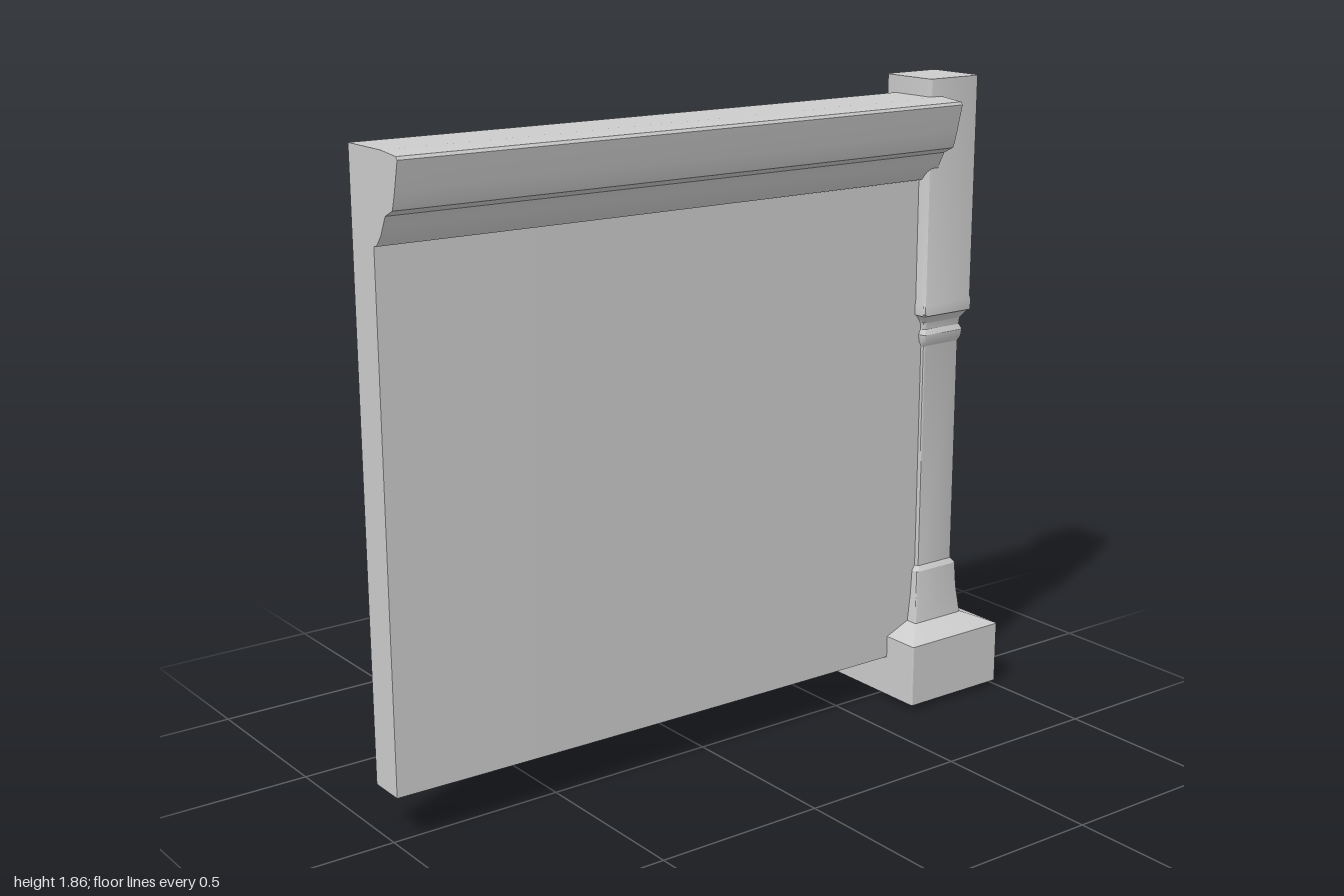
import * as THREE from 'three';
import { toCreasedNormals } from 'three/addons/utils/BufferGeometryUtils.js';

const material = new THREE.MeshStandardMaterial({ color: 0xcccccc });

function addMesh(group, name, geometry, crease = 0.5) {
  const mesh = new THREE.Mesh(toCreasedNormals(geometry, crease), material);
  mesh.name = name;
  group.add(mesh);
}

// Sweep a [z, y] profile along x, bending it slightly backwards towards -x
function sweepAlongX(profile, x0, x1) {
  const shape = new THREE.Shape(profile.map(([z, y]) => new THREE.Vector2(-z, y)));
  const geometry = new THREE.ExtrudeGeometry(shape, { depth: x1 - x0, steps: 16, bevelEnabled: false });
  geometry.rotateY(Math.PI / 2).translate(x0, 0, 0);
  const p = geometry.attributes.position;
  for (let i = 0; i < p.count; i++) {
    const t = (x1 - p.getX(i)) / (x1 - x0);
    p.setZ(i, p.getZ(i) - 0.02 * t * t);
  }
  return geometry;
}

// Stack of rounded squares; each ring is [y, half width, corner radius]
function squareLoft(rings) {
  const position = [], index = [], arc = 3, n = 4 * (arc + 1);
  for (const [y, half, r] of rings) {
    for (let c = 0; c < 4; c++) {
      const mid = Math.PI / 4 + c * Math.PI / 2;
      const cx = Math.sign(Math.cos(mid)) * (half - r);
      const cz = Math.sign(Math.sin(mid)) * (half - r);
      for (let k = 0; k <= arc; k++) {
        const a = (c + k / arc) * Math.PI / 2;
        position.push(cx + r * Math.cos(a), y, cz + r * Math.sin(a));
      }
    }
  }
  for (let j = 0; j < rings.length - 1; j++) {
    for (let i = 0; i < n; i++) {
      const a = j * n + i, b = j * n + (i + 1) % n;
      index.push(a, a + n, b, b, a + n, b + n);
    }
  }
  // End caps
  const top = (rings.length - 1) * n;
  for (let i = 1; i < n - 1; i++) {
    index.push(0, i, i + 1, top, top + i + 1, top + i);
  }
  const geometry = new THREE.BufferGeometry();
  geometry.setAttribute('position', new THREE.Float32BufferAttribute(position, 3));
  geometry.setIndex(index);
  return geometry;
}

export function createModel() {
  const model = new THREE.Group();
  model.name = 'wallWithPost';

  // Wall panel
  addMesh(model, 'wallPanel', sweepAlongX([
    [-0.06, 0.14], [0.048, 0.14], [0.048, 1.81], [-0.06, 1.81],
  ], -1, 0.77));

  // Moulded cornice along the top of the front face
  addMesh(model, 'cornice', sweepAlongX([
    [0.04, 1.575], [0.06, 1.575], [0.085, 1.605], [0.092, 1.62], [0.11, 1.655],
    [0.145, 1.672], [0.15, 1.685], [0.16, 1.72], [0.178, 1.795], [0.172, 1.803],
    [0.1, 1.81], [0.04, 1.81],
  ], -1, 0.77));

  // Post: plinth, shaft and top block share one axis
  const post = new THREE.Group();
  post.name = 'post';
  post.position.set(0.827, 0, -0.007);
  model.add(post);

  addMesh(post, 'plinth', squareLoft([
    [0.005, 0.1, 0.004], [0.02, 0.171, 0.004], [0.205, 0.171, 0.004], [0.238, 0.093, 0.004],
  ]), 0.15);

  addMesh(post, 'shaft', squareLoft([
    [0.23, 0.092, 0.006], [0.25, 0.09, 0.006], [0.32, 0.082, 0.006], [0.395, 0.078, 0.006],
    [0.41, 0.068, 0.006], [1.085, 0.068, 0.006], [1.1, 0.076, 0.01], [1.12, 0.078, 0.01],
    [1.135, 0.071, 0.01], [1.155, 0.073, 0.01], [1.17, 0.083, 0.01], [1.185, 0.094, 0.01],
  ]));

  addMesh(post, 'topBlock', squareLoft([
    [1.18, 0.094, 0.012], [1.21, 0.095, 0.012], [1.22, 0.093, 0.014], [1.86, 0.094, 0.014],
  ]));

  return model;
}
